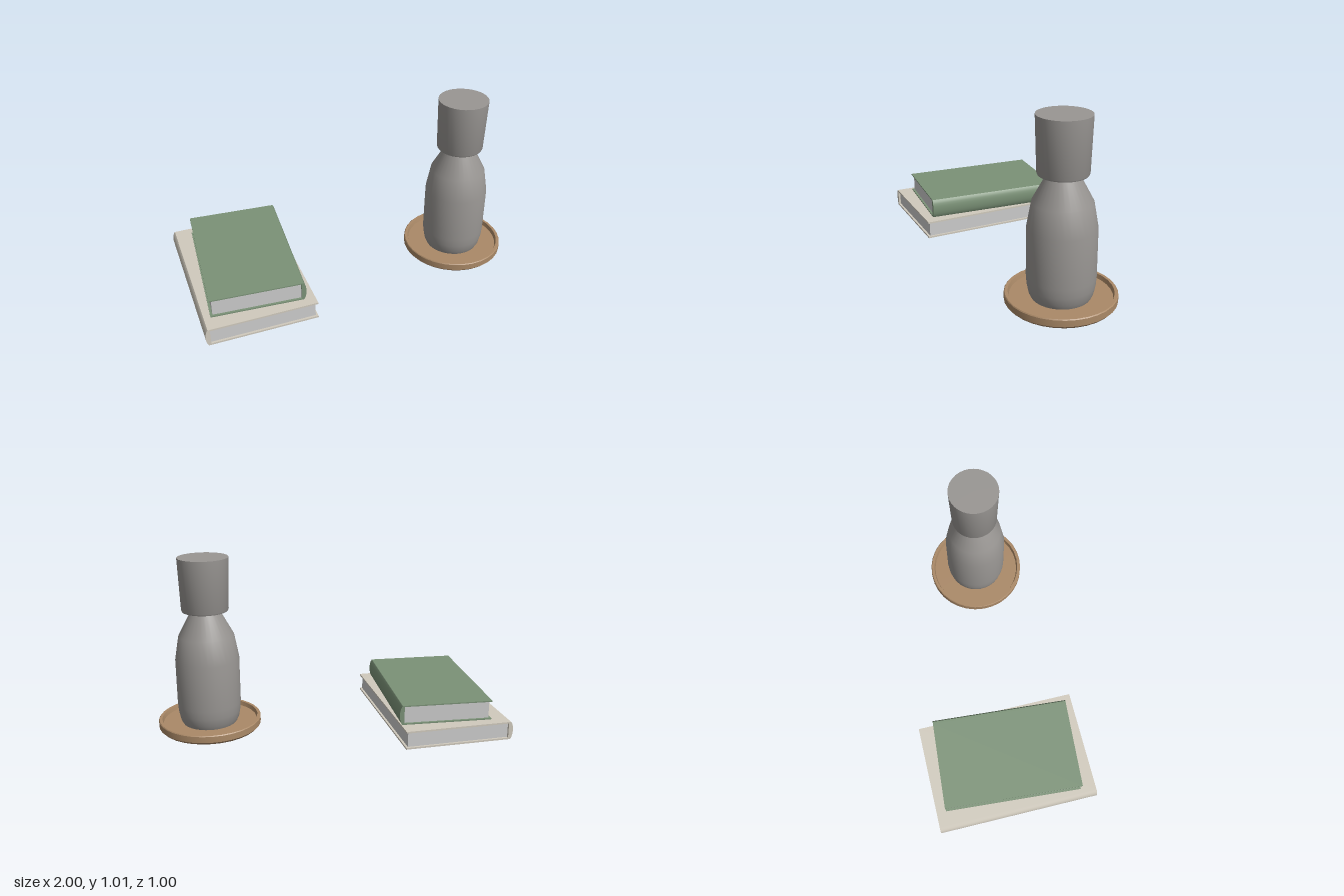
import * as THREE from 'three';
import { toCreasedNormals } from 'three/addons/utils/BufferGeometryUtils.js';

const mat = (color) => new THREE.MeshStandardMaterial({ color });

function addMesh(parent, name, geometry, material, x = 0, y = 0, z = 0) {
  const mesh = new THREE.Mesh(geometry, material);
  mesh.name = name;
  mesh.position.set(x, y, z);
  parent.add(mesh);
  return mesh;
}

// Turned solid from [radius, height] pairs, listed from the bottom centre outwards
function turned(profile) {
  const points = profile.map(([r, y]) => new THREE.Vector2(r, y));
  return toCreasedNormals(new THREE.LatheGeometry(points, 32), 0.55);
}

// Closed hardback book with its rounded spine on +x
function makeBook(name, width, height, depth, board, coverMaterial, pageMaterial) {
  const book = new THREE.Group();
  book.name = name;
  const w = width / 2;
  const hinge = w - 0.028;

  // Cover boards
  const boardGeometry = new THREE.BoxGeometry(hinge + w, board, depth);
  const boardX = (hinge - w) / 2;
  addMesh(book, 'bottomCover', boardGeometry, coverMaterial, boardX, board / 2, 0);
  addMesh(book, 'topCover', boardGeometry, coverMaterial, boardX, height - board / 2, 0);

  // Page block, set back from the three open edges
  const pageWidth = hinge + w - 0.013;
  const pages = new THREE.BoxGeometry(pageWidth, height - 2 * board, depth - 0.026);
  addMesh(book, 'pages', pages, pageMaterial, hinge - pageWidth / 2, height / 2, 0);

  // Rounded spine
  const shape = new THREE.Shape();
  shape.moveTo(hinge, 0);
  shape.lineTo(w - 0.016, 0);
  shape.bezierCurveTo(w + 0.004, height * 0.2, w + 0.004, height * 0.8, w - 0.016, height);
  shape.lineTo(hinge, height);
  shape.closePath();
  const spine = new THREE.ExtrudeGeometry(shape, { depth, bevelEnabled: false, curveSegments: 8 });
  addMesh(book, 'spine', toCreasedNormals(spine, 0.6), coverMaterial, 0, 0, -depth / 2);
  return book;
}

export function createModel() {
  const model = new THREE.Group();
  model.name = 'booksAndCarafe';
  const grey = mat(0xcccccc);
  const clay = mat(0x999693);
  const wood = mat(0xaa8967);
  const green = mat(0x7b9277);
  const beige = mat(0xd0cabd);

  // Stack of two books, spines on opposite sides
  const lower = makeBook('lowerBook', 0.64, 0.107, 0.967, 0.01, beige, grey);
  lower.position.set(-0.657, 0, -0.003);
  lower.rotation.y = Math.PI + 0.047;
  const upper = makeBook('upperBook', 0.54, 0.115, 0.82, 0.007, green, grey);
  upper.position.set(-0.625, 0.108, -0.003);
  upper.rotation.y = -0.026;
  model.add(lower, upper);

  // Carafe set on a tray
  const set = new THREE.Group();
  set.name = 'carafeSet';
  set.position.set(0.696, 0, 0.053);
  model.add(set);

  // Round tray with a raised rim
  addMesh(set, 'tray', turned([
    [0, 0], [0.288, 0], [0.301, 0.014], [0.301, 0.05], [0.297, 0.055],
    [0.281, 0.055], [0.275, 0.03], [0, 0.03],
  ]), wood);

  // Carafe body and neck
  addMesh(set, 'carafe', turned([
    [0, 0.03], [0.16, 0.03], [0.172, 0.055], [0.181, 0.1], [0.185, 0.15],
    [0.185, 0.42], [0.16, 0.56], [0.085, 0.7], [0.07, 0.74], [0.068, 0.82],
    [0.08, 0.9], [0, 0.9],
  ]), clay);

  // Hollow cup turned over the neck
  addMesh(set, 'cup', turned([
    [0, 0.99], [0.13, 0.99], [0.12, 0.72], [0.12, 0.71], [0.125, 0.705],
    [0.131, 0.706], [0.135, 0.714], [0.145, 1.015], [0, 1.015],
  ]), clay);

  return model;
}
